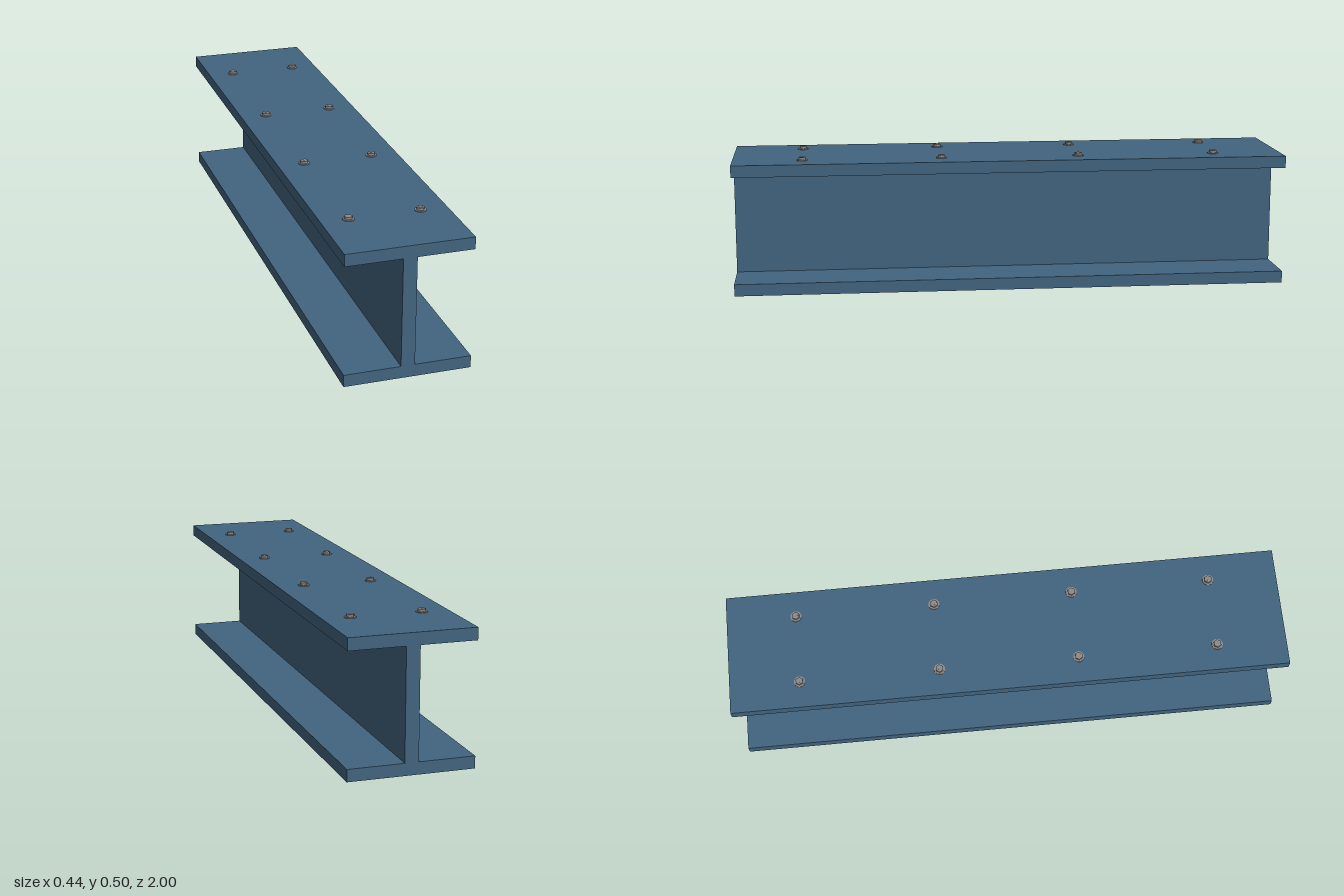
import * as THREE from 'three';

const paint = new THREE.MeshStandardMaterial({ color: 0x42647f });
paint.name = 'blue painted steel';
const steel = new THREE.MeshStandardMaterial({ color: 0x8c8a88 });
steel.name = 'grey bolt steel';

const LENGTH = 2, HALF_W = 0.22, HALF_WEB = 0.024;
const BOTTOM = 0.012, TOP = 0.485, FLANGE = 0.043;

// I-shaped section, extruded along z
function makeBeam() {
  const lo = BOTTOM + FLANGE, hi = TOP - FLANGE;
  const right = [
    [HALF_W, BOTTOM], [HALF_W, lo], [HALF_WEB, lo],
    [HALF_WEB, hi], [HALF_W, hi], [HALF_W, TOP],
  ];
  const left = right.map(([x, y]) => [-x, y]).reverse();
  const shape = new THREE.Shape([...right, ...left].map(([x, y]) => new THREE.Vector2(x, y)));
  const geometry = new THREE.ExtrudeGeometry(shape, { depth: LENGTH, bevelEnabled: false });
  geometry.translate(0, 0, -LENGTH / 2);
  const mesh = new THREE.Mesh(geometry, paint);
  mesh.name = 'beam';
  return mesh;
}

// Upright disc or prism standing on y
function disc(name, radius, height, sides, y) {
  const geometry = new THREE.CylinderGeometry(radius, radius, height, sides);
  geometry.rotateY(Math.PI / 6);
  geometry.translate(0, y + height / 2, 0);
  const mesh = new THREE.Mesh(geometry, steel);
  mesh.name = name;
  return mesh;
}

// Washer, hexagonal head and the end of the shank
function makeBolt() {
  const bolt = new THREE.Group();
  bolt.name = 'bolt';
  bolt.add(
    disc('washer', 0.02, 0.003, 24, 0),
    disc('hexHead', 0.0143, 0.0085, 6, 0.003),
    disc('shankEnd', 0.006, 0.0005, 16, 0.0115),
  );
  return bolt;
}

export function createModel() {
  const model = new THREE.Group();
  model.name = 'steelBeam';
  model.add(makeBeam());

  // Two rows of bolts on both outer flange faces
  for (const x of [-0.125, 0.125]) {
    for (const z of [-0.75, -0.25, 0.25, 0.75]) {
      const upper = makeBolt();
      upper.name = 'upperBolt';
      upper.position.set(x, TOP, z);
      const lower = makeBolt();
      lower.name = 'lowerBolt';
      lower.position.set(x, BOTTOM, z);
      lower.rotation.x = Math.PI;
      model.add(upper, lower);
    }
  }
  return model;
}
